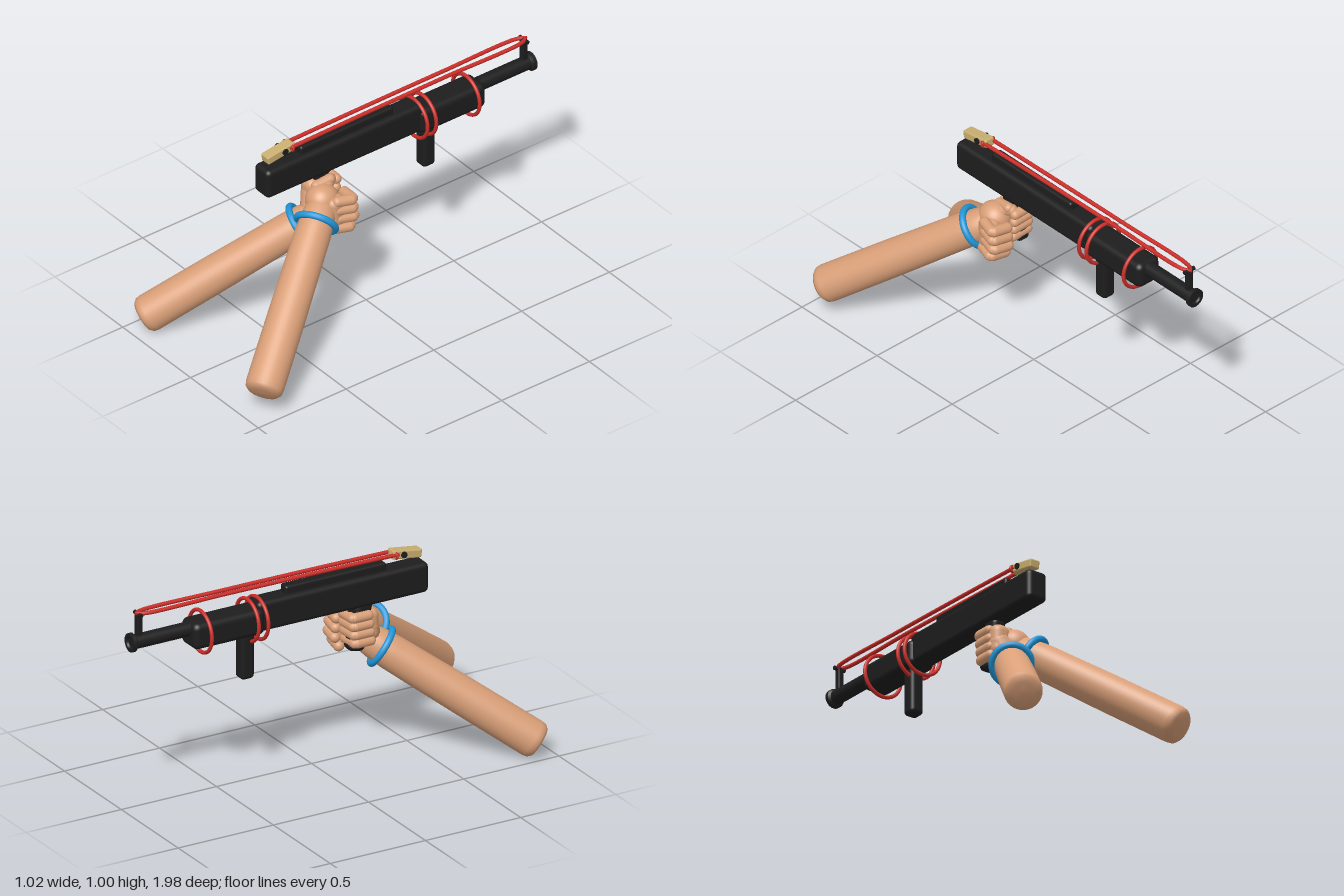
import * as THREE from 'three';
import { RoundedBoxGeometry } from 'three/addons/geometries/RoundedBoxGeometry.js';

const mat = (name, color) => Object.assign(new THREE.MeshStandardMaterial({ color }), { name });
const V = (x, y, z) => new THREE.Vector3(x, y, z);
const UP = V(0, 1, 0);

export function createModel() {
  const model = new THREE.Group();
  const black = mat('black', 0x1d1d1d);
  const skin = mat('skin', 0xd99f78);
  const red = mat('red', 0xcc2d28);
  const blue = mat('blue', 0x2196d8);
  const tan = mat('tan', 0xc9ae70);
  const GX = -0.073; // centre line of the launcher

  function add(name, geo, material, x = 0, y = 0, z = 0, parent = model) {
    const m = new THREE.Mesh(geo, material);
    m.name = name;
    m.position.set(x, y, z);
    parent.add(m);
    return m;
  }
  const box = (name, material, w, h, d, r, x, y, z) =>
    add(name, new RoundedBoxGeometry(w, h, d, 3, r), material, x, y, z);
  // capsule between two points
  function capsule(name, a, b, r, material, parent) {
    const d = b.clone().sub(a);
    const m = add(name, new THREE.CapsuleGeometry(r, d.length(), 6, 14), material, 0, 0, 0, parent);
    m.position.copy(a).addScaledVector(d, 0.5);
    m.quaternion.setFromUnitVectors(UP, d.normalize());
    return m;
  }

  // launcher body
  box('receiver', black, 0.108, 0.148, 0.9, 0.024, GX, 0.865, 0.095);
  box('foreBody', black, 0.134, 0.128, 0.375, 0.03, GX, 0.846, -0.508);
  box('topRail', black, 0.054, 0.05, 0.53, 0.012, GX, 0.951, 0.07);
  box('foreGrip', black, 0.07, 0.23, 0.07, 0.02, GX, 0.68, -0.395);
  const handle = box('handle', black, 0.07, 0.24, 0.085, 0.022, GX, 0.69, 0.2);
  handle.rotation.x = 0.2;
  box('trigger', black, 0.025, 0.06, 0.025, 0.008, GX, 0.765, 0.16);

  // barrel and muzzle flange
  const barrel = [[0, 0], [0.034, 0], [0.034, 0.285], [0.045, 0.293], [0.045, 0.31], [0.03, 0.31], [0.026, 0.3], [0, 0.3]];
  const barrelGeo = new THREE.LatheGeometry(barrel.flatMap(([r, y], i) =>
    i && i < 7 ? [new THREE.Vector2(r, y), new THREE.Vector2(r, y + 1e-5)] : [new THREE.Vector2(r, y)]), 28);
  add('barrel', barrelGeo, black, GX, 0.872, -0.69).rotation.x = -Math.PI / 2;
  box('bandPost', black, 0.03, 0.125, 0.028, 0.006, GX, 0.945, -0.953);
  const postBar = add('bandPostBar', new THREE.CylinderGeometry(0.01, 0.01, 0.06, 14), black, GX, 1.005, -0.955);
  postBar.rotation.z = Math.PI / 2;

  // stretched elastic looped round the post
  const loop = new THREE.CatmullRomCurve3([
    V(GX - 0.023, 1.0, 0.4), V(GX - 0.022, 1.006, 0), V(GX - 0.021, 1.01, -0.5), V(GX - 0.019, 1.01, -0.93),
    V(GX, 1.01, -0.966),
    V(GX + 0.019, 1.01, -0.93), V(GX + 0.021, 1.01, -0.5), V(GX + 0.022, 1.006, 0), V(GX + 0.023, 1.0, 0.4)]);
  add('elasticBand', new THREE.TubeGeometry(loop, 120, 0.0095, 10), red);

  // pouch with its cross pin and band knots
  const pouch = box('pouch', tan, 0.054, 0.042, 0.155, 0.008, GX, 0.99, 0.445);
  pouch.rotation.x = 0.15;
  const pin = add('pouchPin', new THREE.CylinderGeometry(0.015, 0.015, 0.068, 16), black, GX, 0.994, 0.425);
  pin.rotation.z = Math.PI / 2;
  for (const s of [-1, 1])
    add('bandKnot', new THREE.TorusGeometry(0.014, 0.006, 8, 16), red, GX + s * 0.023, 0.997, 0.385);

  // rubber rings round the fore body
  for (const z of [-0.33, -0.38, -0.627])
    add('rubberRing', new THREE.TorusGeometry(0.1, 0.009, 10, 48), red, GX, 0.846, z);

  // forearms with wristbands
  const armProfile = [[0, 0], [0.045, 0.002], [0.072, 0.008], [0.085, 0.022], [0.089, 0.045], [0.088, 0.4],
    [0.083, 0.8], [0.078, 0.88], [0.07, 0.93], [0.05, 0.97], [0, 0.985]].map(p => new THREE.Vector2(...p));
  for (const s of [1, -1]) {
    const side = s > 0 ? 'left' : 'right';
    const drop = s > 0 ? 0 : -0.07;
    const elbow = V(s * 0.445, 0.152 + drop, 0.935);
    const wrist = V(s * 0.06, 0.62 + drop, 0.33);
    const dir = wrist.clone().sub(elbow).normalize();
    const arm = add(side + 'Forearm', new THREE.LatheGeometry(armProfile, 36), skin);
    arm.position.copy(elbow);
    arm.quaternion.setFromUnitVectors(UP, dir);
    const band = add(side + 'Wristband', new THREE.TorusGeometry(0.091, 0.016, 12, 44), blue);
    band.position.copy(wrist);
    band.quaternion.setFromUnitVectors(V(0, 0, 1), dir);
  }

  // right hand wrapped round the handle
  const rightHand = new THREE.Group();
  rightHand.name = 'rightHand';
  model.add(rightHand);
  add('palm', new RoundedBoxGeometry(0.095, 0.16, 0.1, 4, 0.04), skin, -0.075, 0.69, 0.245, rightHand);
  capsule('wrist', V(-0.035, 0.6, 0.28), V(-0.07, 0.68, 0.25), 0.055, skin, rightHand);
  capsule('thumb', V(-0.03, 0.745, 0.26), V(-0.02, 0.76, 0.19), 0.025, skin, rightHand);
  for (let i = 0; i < 4; i++) {
    const y = 0.745 - i * 0.042, z = 0.15 + i * 0.004;
    capsule('fingerBase', V(-0.113, y, z + 0.08), V(-0.113, y, z + 0.01), 0.024, skin, rightHand);
    capsule('fingerTip', V(-0.108, y, z), V(-0.025, y - 0.004, z), 0.024, skin, rightHand);
  }

  // left hand clasped over it
  const leftHand = new THREE.Group();
  leftHand.name = 'leftHand';
  model.add(leftHand);
  const palm = add('palm', new THREE.SphereGeometry(0.075, 28, 20), skin, 0.005, 0.69, 0.255, leftHand);
  palm.scale.set(1, 1, 1.05);
  add('handBack', new RoundedBoxGeometry(0.08, 0.16, 0.1, 4, 0.035), skin, 0.065, 0.645, 0.225, leftHand);
  capsule('thumb', V(0.0, 0.73, 0.24), V(-0.03, 0.75, 0.18), 0.027, skin, leftHand);
  for (let i = 0; i < 4; i++) {
    const y = 0.705 - i * 0.047, z = 0.155 - i * 0.004 + (i === 3 ? 0.025 : 0);
    capsule('fingerBase', V(0.088, y + 0.005, z + 0.075), V(0.106, y, z + 0.01), 0.026, skin, leftHand);
    capsule('fingerTip', V(0.1, y, z), V(0.03, y - 0.008, z - 0.008), 0.026, skin, leftHand);
  }
  return model;
}
